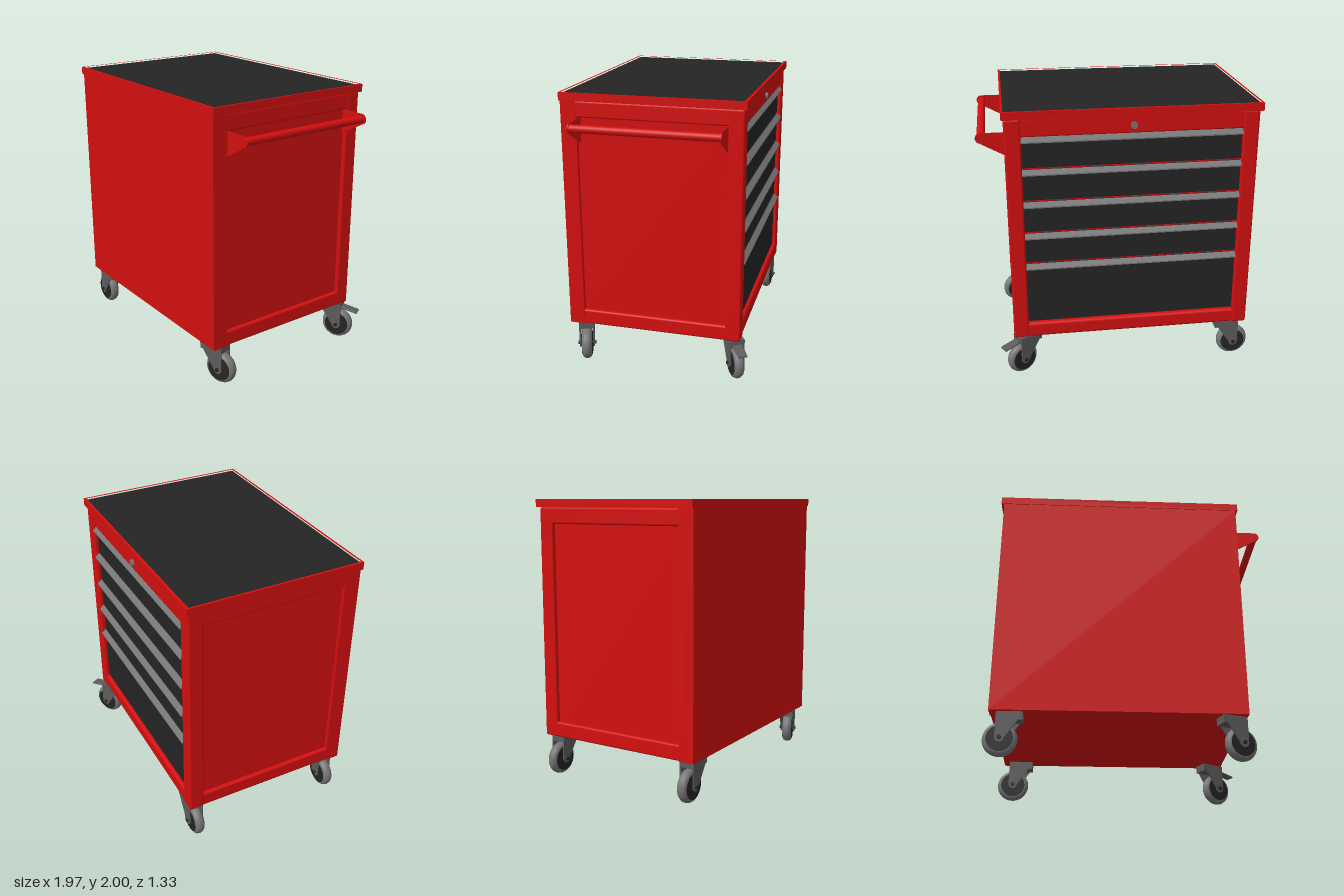
import * as THREE from 'three';
import { RoundedBoxGeometry } from 'three/addons/geometries/RoundedBoxGeometry.js';

const mat = (name, color) => {
  const m = new THREE.MeshStandardMaterial({ color });
  m.name = name;
  return m;
};

export function createModel() {
  const red = mat('red paint', 0xd30f0f);
  const black = mat('black', 0x242424);
  const steel = mat('steel grey', 0x5c5c5c);
  const grey = mat('light grey', 0x757575);

  const root = new THREE.Group();
  root.name = 'toolCart';

  const add = (parent, name, geo, material, x = 0, y = 0, z = 0) => {
    const m = new THREE.Mesh(geo, material);
    m.name = name;
    m.position.set(x, y, z);
    parent.add(m);
    return m;
  };
  // Box given by its limits on each axis, with optionally rounded edges
  const block = (parent, name, material, [x0, x1], [y0, y1], [z0, z1], r = 0) => {
    const s = [x1 - x0, y1 - y0, z1 - z0];
    const geo = r ? new RoundedBoxGeometry(...s, 2, r) : new THREE.BoxGeometry(...s);
    return add(parent, name, geo, material, (x0 + x1) / 2, (y0 + y1) / 2, (z0 + z1) / 2);
  };

  // Cabinet limits
  const X0 = -0.95, X1 = 0.79, Y0 = 0.3, Y1 = 1.945, Z0 = -0.605, Z1 = 0.655;
  const post = 0.11, recess = 0.03;
  const cx = (X0 + X1) / 2;

  // Cabinet core and full-width panel
  const body = new THREE.Group();
  body.name = 'cabinet';
  root.add(body);
  block(body, 'cabinetCore', red, [X0 + recess, X1 - recess], [Y0, Y1], [Z0 + 0.04, Z1 - 0.01]);
  block(body, 'plainPanel', red, [X0, X1], [Y0, Y1], [Z1 - 0.03, Z1]);

  // Corner posts and side rails
  for (const [x0, x1] of [[X0, X0 + post], [X1 - post, X1]]) {
    block(body, 'drawerSidePost', red, [x0, x1], [Y0, Y1], [Z0, Z0 + post], 0.014);
  }
  for (const [x0, x1] of [[X0, X0 + 0.06], [X1 - 0.06, X1]]) {
    block(body, 'panelSidePost', red, [x0, x1], [Y0, Y1], [Z1 - post, Z1 - 0.005]);
    block(body, 'lowerSideRail', red, [x0 + 0.003, x1 - 0.003], [Y0, 0.41], [Z0 + 0.08, Z1 - 0.08], 0.014);
    block(body, 'upperSideRail', red, [x0 + 0.003, x1 - 0.003], [1.83, Y1], [Z0 + 0.08, Z1 - 0.08], 0.014);
  }

  // Rails above and below the drawers
  const dx = [X0 + post, X1 - post];
  block(body, 'lowerDrawerRail', red, [dx[0] - 0.03, dx[1] + 0.03], [Y0, 0.41], [Z0 + 0.004, Z0 + 0.08], 0.02);
  block(body, 'upperDrawerRail', red, [dx[0] - 0.03, dx[1] + 0.03], [1.82, Y1], [Z0 + 0.01, Z0 + 0.08], 0.01);
  add(body, 'lock', new THREE.CylinderGeometry(0.024, 0.024, 0.02, 24).rotateX(Math.PI / 2), grey, cx, 1.875, Z0 + 0.005);

  // Drawers with a sloping grip along each top edge
  const tops = [1.82, 1.59, 1.355, 1.12, 0.885, 0.41];
  const gripShape = new THREE.Shape([[0, 0], [0.034, -0.028], [0.034, -0.036], [0.026, -0.036], [0, -0.022]]
    .map(([a, b]) => new THREE.Vector2(a, b)));
  const gripGeo = new THREE.ExtrudeGeometry(gripShape, { depth: dx[1] - dx[0], bevelEnabled: false });
  gripGeo.rotateY(Math.PI / 2);
  const face = Z0 + 0.03;
  for (let i = 0; i < 5; i++) {
    const drawer = new THREE.Group();
    drawer.name = 'drawer';
    body.add(drawer);
    block(drawer, 'drawerFront', black, dx, [tops[i + 1] + 0.008, tops[i] - 0.004], [face, face + 0.03]);
    add(drawer, 'drawerGrip', gripGeo, grey, dx[0], tops[i] - 0.004, face);
  }

  // Worktop: red tray with a thin rim around a black mat
  const rect = (C, x0, x1, z0, z1) => new C([[x0, z0], [x1, z0], [x1, z1], [x0, z1]]
    .map(([x, z]) => new THREE.Vector2(x, -z)));
  const rim = rect(THREE.Shape, -0.97, 0.805, -0.62, 0.66);
  rim.holes.push(rect(THREE.Path, -0.955, 0.79, -0.602, 0.645));
  const top = new THREE.Group();
  top.name = 'worktop';
  root.add(top);
  add(top, 'worktopRim', new THREE.ExtrudeGeometry(rim, { depth: 0.055, bevelEnabled: false }).rotateX(-Math.PI / 2), red, 0, Y1, 0);
  block(top, 'worktopBase', red, [-0.957, 0.792], [Y1, 1.983], [-0.605, 0.648]);
  block(top, 'worktopMat', black, [-0.955, 0.79], [1.983, 1.991], [-0.602, 0.645]);

  // Push handle: a bar between two plate brackets
  const handle = new THREE.Group();
  handle.name = 'pushHandle';
  root.add(handle);
  const bracket = new THREE.Shape();
  bracket.moveTo(0.76, 1.655);
  bracket.lineTo(0.79, 1.67);
  bracket.lineTo(0.96, 1.762);
  bracket.absarc(0.945, 1.793, 0.036, -1.1, Math.PI / 2, false);
  bracket.lineTo(0.76, 1.829);
  const bracketGeo = new THREE.ExtrudeGeometry(bracket, { depth: 0.008, bevelEnabled: false });
  for (const z of [-0.493, 0.525]) add(handle, 'handleBracket', bracketGeo, red, 0, 0, z);
  add(handle, 'handleBar', new THREE.CylinderGeometry(0.028, 0.028, 1.02, 24).rotateX(Math.PI / 2), red, 0.943, 1.793, 0.02);

  // Casters: local +x is the trailing direction
  const axle = [0.057, 0.118];
  const fork = new THREE.Shape();
  fork.moveTo(-0.09, 0.3);
  fork.lineTo(-0.09, 0.285);
  fork.lineTo(axle[0] - 0.03, axle[1] - 0.005);
  fork.absarc(...axle, 0.032, Math.PI, Math.PI * 2, false);
  fork.lineTo(0.089, 0.3);
  const forkGeo = new THREE.ExtrudeGeometry(fork, { depth: 0.01, bevelEnabled: false });
  const tyreGeo = new THREE.LatheGeometry([[0.07, -0.036], [0.09, -0.036], [0.105, -0.03], [0.114, -0.017],
    [0.118, 0], [0.114, 0.017], [0.105, 0.03], [0.09, 0.036], [0.07, 0.036]]
    .map(([r, y]) => new THREE.Vector2(r, y)), 36).rotateX(Math.PI / 2);
  const disc = (r, w) => new THREE.CylinderGeometry(r, r, w, 28).rotateX(Math.PI / 2);

  const caster = (x, z, turn, brake) => {
    const g = new THREE.Group();
    g.name = brake ? 'brakedCaster' : 'caster';
    g.position.set(x, 0, z);
    g.rotation.y = turn;
    root.add(g);
    add(g, 'tyre', tyreGeo, grey, ...axle, 0);
    add(g, 'hub', disc(0.09, 0.076), black, ...axle, 0);
    add(g, 'axleBolt', disc(0.014, 0.13), black, ...axle, 0);
    for (const side of [-0.055, 0.045]) add(g, 'forkPlate', forkGeo, steel, 0, 0, side);
    block(g, 'forkCrown', steel, [-0.089, 0.088], [0.245, 0.302], [-0.05, 0.05]);
    if (brake) {
      const pedal = add(g, 'brakePedal', new RoundedBoxGeometry(0.13, 0.016, 0.07, 2, 0.007), steel, 0.15, 0.25, 0);
      pedal.rotation.z = -0.2;
    }
  };
  caster(-0.812, 0.575, Math.PI, false);
  caster(-0.812, -0.535, Math.PI, false);
  caster(0.685, 0.572, 0.33, false);
  caster(0.69, -0.54, 0.52, true);

  return root;
}
